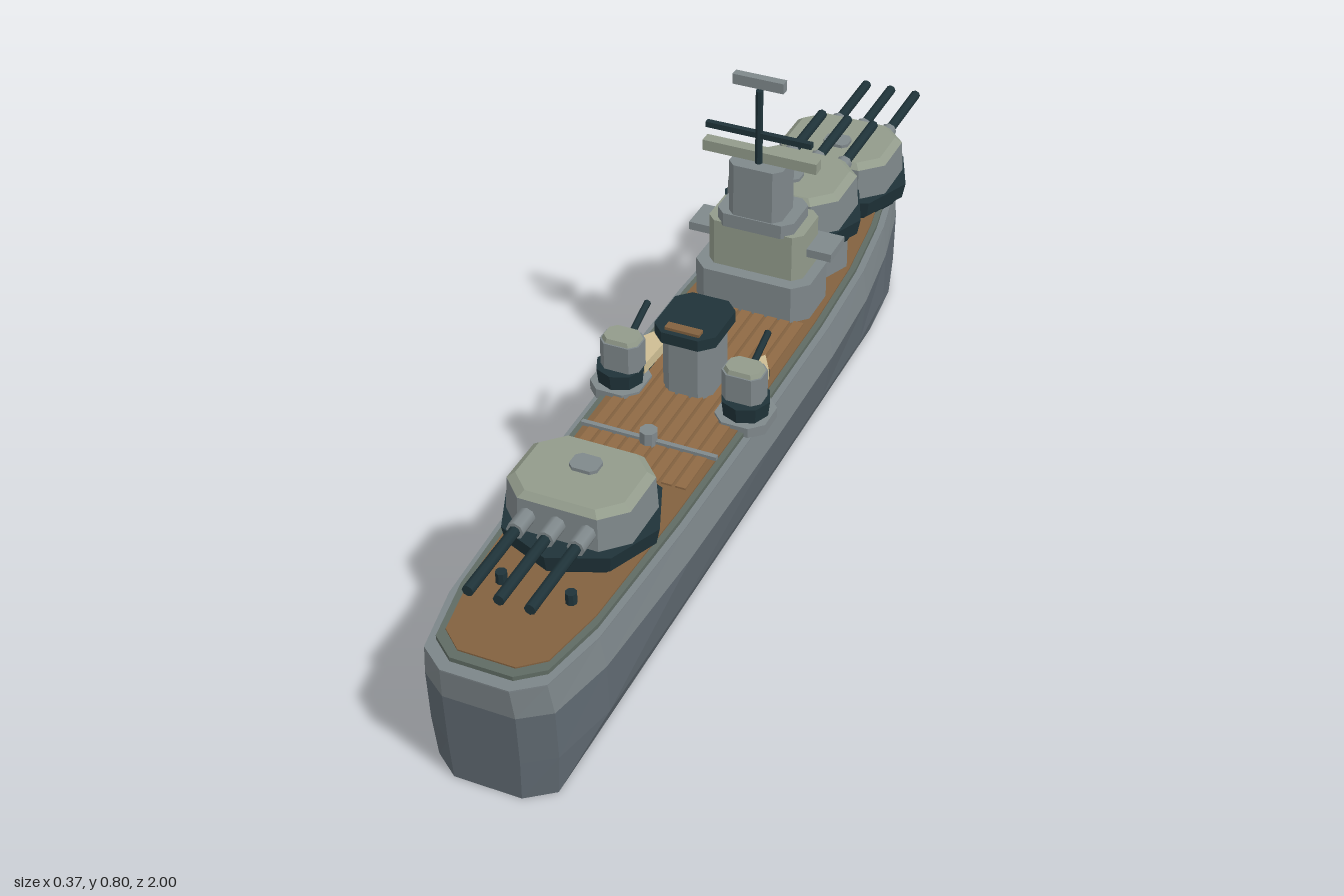
import * as THREE from 'three';

const mat = (name, color, side = THREE.FrontSide) => {
  const m = new THREE.MeshStandardMaterial({ color, side });
  m.name = name;
  return m;
};

// Half outline of the ship at its widest level, stern to bow: [z, half width]
const OUTLINE = [
  [1.0, 0.07], [0.96, 0.125], [0.82, 0.155], [0.5, 0.171], [0.1, 0.177],
  [-0.2, 0.177], [-0.42, 0.168], [-0.6, 0.145], [-0.76, 0.11], [-0.9, 0.05], [-0.99, 0.003],
];

// Full loop of the outline; width and length are changed by the given rules
function loop(width, zScale) {
  const half = OUTLINE.map(([z, w]) => [width(w), z * zScale]);
  return [...half, ...half.map(([x, z]) => [-x, z]).reverse()];
}

function flat(geo) {
  const g = geo.index ? geo.toNonIndexed() : geo;
  g.computeVertexNormals();
  return g;
}

// Wall through a list of loops, each { y, pts }
function wall(levels) {
  const pos = [], idx = [], n = levels[0].pts.length;
  levels.forEach(({ y, pts }) => pts.forEach(([x, z]) => pos.push(x, y, z)));
  for (let l = 0; l < levels.length - 1; l++) {
    for (let i = 0; i < n; i++) {
      const a = l * n + i, b = l * n + (i + 1) % n;
      idx.push(a, b, b + n, a, b + n, a + n);
    }
  }
  const g = new THREE.BufferGeometry();
  g.setAttribute('position', new THREE.Float32BufferAttribute(pos, 3));
  g.setIndex(idx);
  return flat(g);
}

// Flat slab standing on y = 0 with the given outline
function slab(pts, h) {
  const shape = new THREE.Shape(pts.map(([x, z]) => new THREE.Vector2(x, -z)));
  return new THREE.ExtrudeGeometry(shape, { depth: h, bevelEnabled: false }).rotateX(-Math.PI / 2);
}

// Block with cut corners and an optional taper towards the top
function block(w, h, d, c, taper = 1) {
  const x = w / 2, z = d / 2;
  const g = slab([[x - c, z], [x, z - c], [x, c - z], [x - c, -z], [c - x, -z], [-x, c - z], [-x, z - c], [c - x, z]], h);
  const p = g.attributes.position;
  for (let i = 0; i < p.count; i++) {
    if (p.getY(i) > h / 2) p.setXYZ(i, p.getX(i) * taper, p.getY(i), p.getZ(i) * taper);
  }
  return flat(g);
}

const box = (w, h, d) => new THREE.BoxGeometry(w, h, d).translate(0, h / 2, 0);
const drum = (rt, rb, h, n = 8) => flat(new THREE.CylinderGeometry(rt, rb, h, n).translate(0, h / 2, 0));
const rod = (r, len, n = 8) => new THREE.CylinderGeometry(r, r, len, n).rotateX(Math.PI / 2).translate(0, 0, len / 2);

export function createModel() {
  const grey = mat('mid grey', 0x7f888b);
  const hullGrey = mat('lower hull grey', 0x606a72, THREE.DoubleSide);
  const bandGrey = mat('upper hull grey', 0x7c8589, THREE.DoubleSide);
  const pale = mat('pale green grey', 0x929b8b);
  const dark = mat('dark teal', 0x1f3339);
  const wood = mat('deck brown', 0x82613f);
  const plankWood = mat('plank brown', 0x8f6a45);
  const trim = mat('deck edge green grey', 0x5f6b63);
  const tan = mat('boat tan', 0xcdbd93);

  const ship = new THREE.Group();
  ship.name = 'warship';
  const add = (parent, name, geo, material, x = 0, y = 0, z = 0) => {
    const m = new THREE.Mesh(geo, material);
    m.name = name;
    m.position.set(x, y, z);
    parent.add(m);
    return m;
  };

  // Hull, open underneath
  const knuckle = { y: 0.2, pts: loop(w => w, 0.992) };
  const top = { y: 0.267, pts: loop(w => w * 0.94, 1) };
  add(ship, 'lowerHull', wall([
    { y: 0, pts: loop(w => Math.min(w * 0.95, 0.118), 0.98) },
    { y: 0.09, pts: loop(w => Math.min(w, 0.157), 0.985) },
    knuckle,
  ]), hullGrey);
  add(ship, 'upperHull', wall([knuckle, top]), bandGrey);

  // Deck layers
  add(ship, 'deckRim', slab(top.pts, 0.003), bandGrey, 0, 0.266, 0);
  add(ship, 'deckEdge', slab(loop(w => w * 0.86, 0.975), 0.01), trim, 0, 0.268, 0);
  add(ship, 'deck', slab(loop(w => w * 0.79, 0.955), 0.006), wood, 0, 0.275, 0);
  for (let i = -4; i <= 4; i++) {
    add(ship, 'deckPlank', box(0.021, 0.005, 0.58), plankWood, i * 0.028, 0.28, 0.12);
  }

  // Main gun turrets, built facing +z
  function turret(name, y, z, forward) {
    const t = new THREE.Group();
    t.name = name;
    add(t, 'turretFoot', drum(0.135, 0.125, 0.025), dark);
    add(t, 'turretRing', drum(0.152, 0.145, 0.035), dark, 0, 0.022, 0);
    add(t, 'gunHouse', block(0.25, 0.068, 0.2, 0.045, 0.97), grey, 0, 0.057, 0);
    add(t, 'gunHouseRoof', block(0.243, 0.012, 0.194, 0.044, 0.88), pale, 0, 0.125, 0);
    add(t, 'roofHatch', block(0.055, 0.008, 0.045, 0.01), grey, 0, 0.136, -0.02);
    for (const x of [-0.059, 0, 0.059]) {
      add(t, 'barrelSleeve', rod(0.017, 0.055), grey, x, 0.092, 0.09);
      add(t, 'barrel', rod(0.011, 0.2), dark, x, 0.092, 0.117);
    }
    t.position.set(0, y, z);
    if (forward) t.rotation.y = Math.PI;
    ship.add(t);
  }
  turret('aftTurret', 0.275, 0.585, false);
  turret('bowTurret', 0.275, -0.684, true);
  add(ship, 'raisedTurretBase', drum(0.125, 0.125, 0.075), grey, 0, 0.278, -0.405);
  turret('raisedTurret', 0.345, -0.405, true);

  // Bridge tower in tiers
  add(ship, 'bridgeBase', block(0.25, 0.085, 0.15, 0.03), grey, 0, 0.278, -0.24);
  add(ship, 'bridgeDeck', block(0.205, 0.105, 0.115, 0.018), pale, 0, 0.36, -0.25);
  add(ship, 'bridgeWing', box(0.31, 0.018, 0.075), grey, 0, 0.405, -0.265);
  add(ship, 'bridgeTop', block(0.165, 0.03, 0.115, 0.02), grey, 0, 0.46, -0.245);
  add(ship, 'tower', block(0.115, 0.12, 0.09, 0.016), grey, 0, 0.485, -0.235);
  add(ship, 'rangefinder', box(0.243, 0.023, 0.025), pale, 0, 0.605, -0.233);
  add(ship, 'mast', drum(0.008, 0.008, 0.165), dark, 0, 0.602, -0.22);
  add(ship, 'mastYard', box(0.224, 0.012, 0.012), dark, 0, 0.663, -0.22);
  add(ship, 'radarBar', box(0.107, 0.022, 0.018), grey, 0, 0.775, -0.22);

  // Funnel
  add(ship, 'funnel', block(0.105, 0.135, 0.115, 0.022), grey, 0, 0.278, 0.09);
  add(ship, 'funnelCap', block(0.128, 0.024, 0.148, 0.026), dark, 0, 0.408, 0.09);
  add(ship, 'funnelCapStrip', box(0.072, 0.008, 0.02), wood, 0, 0.43, 0.143);

  // Secondary guns, boats and fittings on both sides
  const boatShape = [[0.022, 0.06], [0.026, -0.02], [0, -0.065], [-0.026, -0.02], [-0.022, 0.06]];
  for (const s of [-1, 1]) {
    add(ship, 'gunPlatform', block(0.105, 0.022, 0.11, 0.025), grey, s * 0.132, 0.268, 0.15);
    add(ship, 'smallTurretRing', drum(0.05, 0.046, 0.035), dark, s * 0.132, 0.288, 0.15);
    add(ship, 'smallGunHouse', block(0.082, 0.06, 0.062, 0.015), grey, s * 0.128, 0.322, 0.147);
    add(ship, 'smallGunRoof', block(0.076, 0.009, 0.056, 0.014, 0.9), pale, s * 0.128, 0.382, 0.147);
    const gun = add(ship, 'smallBarrel', rod(0.007, 0.1, 6), dark, s * 0.128, 0.36, 0.125);
    gun.rotation.set(0.35, Math.PI, 0, 'YXZ');
    gun.rotation.x = -0.35;
    add(ship, 'boatCradle', box(0.03, 0.018, 0.08), dark, s * 0.112, 0.28, 0.06);
    add(ship, 'boat', slab(boatShape, 0.022), tan, s * 0.112, 0.297, 0.07);
    for (const [x, z] of [[0.068, 0.77], [0.035, -0.85]]) {
      add(ship, 'bollard', drum(0.011, 0.011, 0.024), dark, s * x, 0.28, z);
    }
  }
  add(ship, 'sideLocker', box(0.024, 0.015, 0.03), wood, -0.174, 0.29, 0.13);
  add(ship, 'deckRail', box(0.28, 0.008, 0.01), grey, 0, 0.283, 0.306);
  add(ship, 'deckPost', drum(0.018, 0.018, 0.03), grey, 0, 0.281, 0.306);
  return ship;
}
